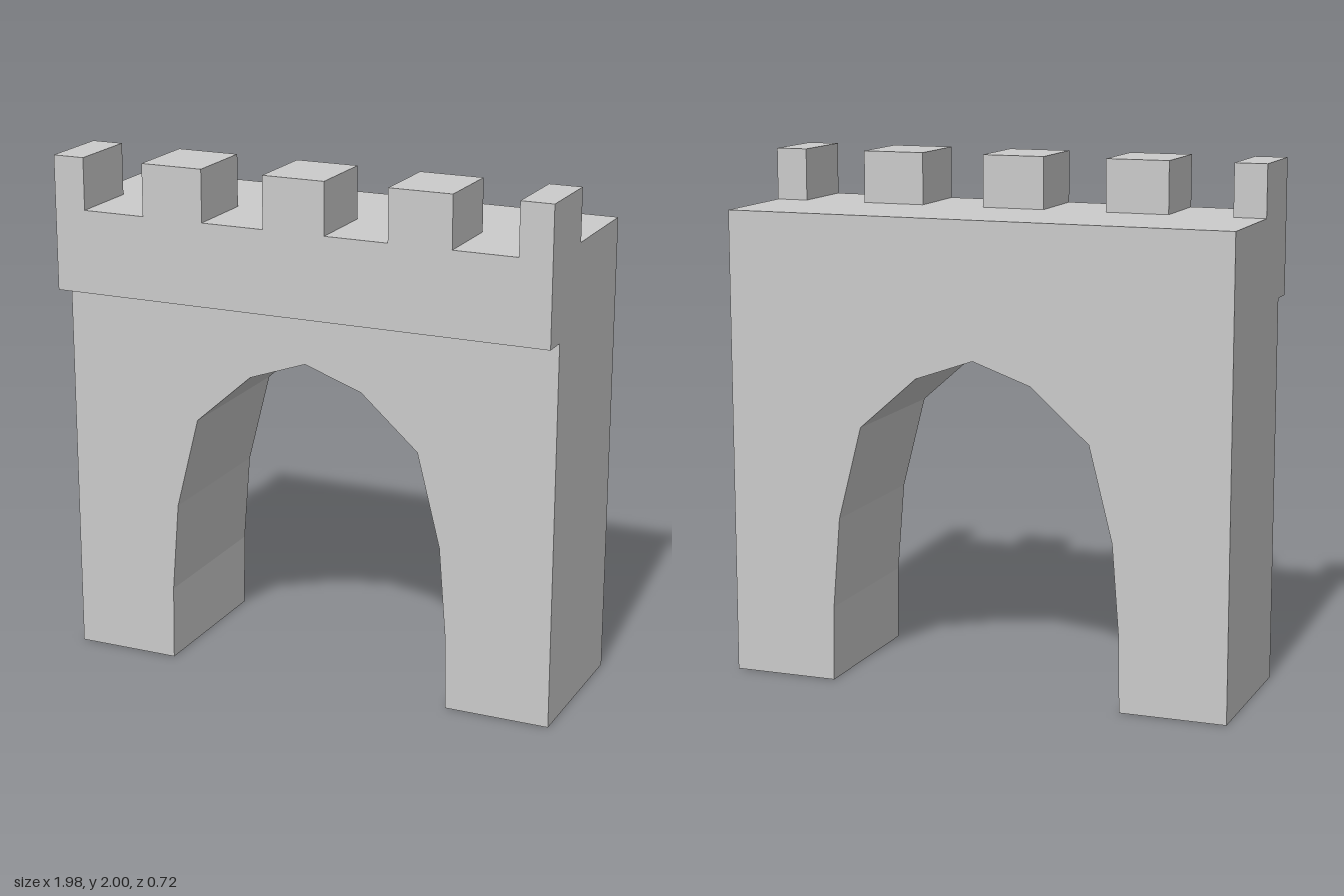
import * as THREE from 'three';

const HALF = 0.9875, BACK = -0.36, WALL_FRONT = 0.265, FRONT = 0.36;
const CORBEL = 1.48, DECK = 1.8, TOP = 2;

export function createModel() {
  const group = new THREE.Group();
  const material = new THREE.MeshStandardMaterial({ color: 0xcccccc, flatShading: true });

  const add = (name, geometry) => {
    const mesh = new THREE.Mesh(geometry, material);
    mesh.name = name;
    group.add(mesh);
    return mesh;
  };

  // Box given by its limits on each axis
  const block = (name, x0, x1, y0, y1, z0, z1) =>
    add(name, new THREE.BoxGeometry(x1 - x0, y1 - y0, z1 - z0))
      .position.set((x0 + x1) / 2, (y0 + y1) / 2, (z0 + z1) / 2);

  // Wall with faceted archway, outlined around the opening from one foot to the other
  const side = [[0.577, 0], [0.573, 0.29], [0.545, 0.64], [0.453, 1], [0.227, 1.2]];
  const arch = [
    ...side.map(([x, y]) => [-x, y]),
    [0, 1.28],
    ...side.slice().reverse(),
  ];
  const outline = [...arch, [HALF, 0], [HALF, DECK], [-HALF, DECK], [-HALF, 0]];
  const shape = new THREE.Shape(outline.map(([x, y]) => new THREE.Vector2(x, y)));
  const wall = new THREE.ExtrudeGeometry(shape, { depth: WALL_FRONT - BACK, bevelEnabled: false });
  add('archedWall', wall.translate(0, 0, BACK));

  // Overhanging parapet along the front
  block('parapet', -HALF, HALF, CORBEL, DECK, WALL_FRONT, FRONT);

  // Merlons: evenly spaced, the end ones cut off at the wall ends
  const spacing = 0.4925, halfWidth = 0.1225;
  for (let i = -2; i <= 2; i++) {
    const x0 = Math.max(-HALF, i * spacing - halfWidth);
    const x1 = Math.min(HALF, i * spacing + halfWidth);
    block('merlon', x0, x1, DECK, TOP, 0.065, FRONT);
  }

  group.position.x = -0.0025;
  return group;
}
